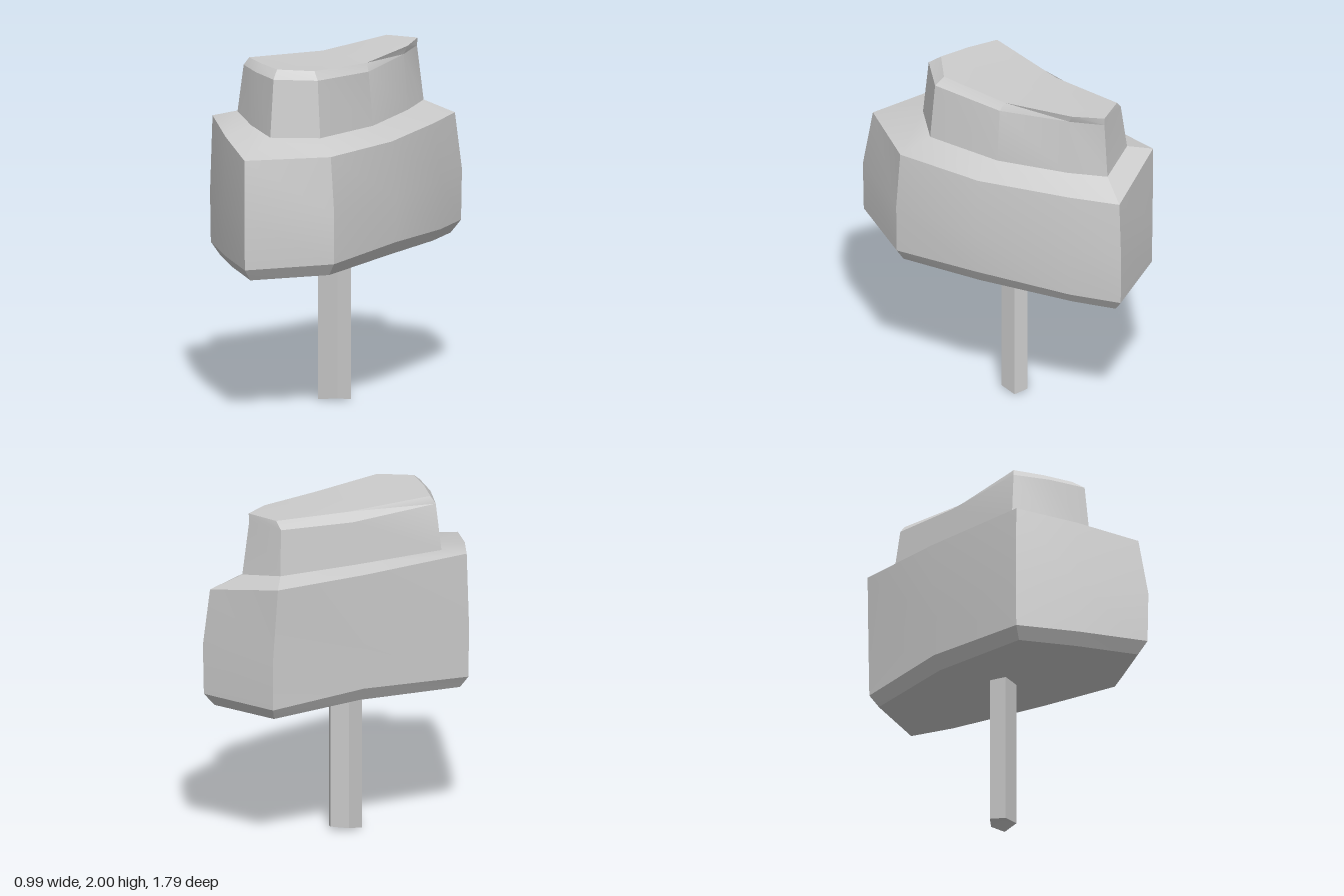
import * as THREE from 'three';
import { toCreasedNormals } from 'three/addons/utils/BufferGeometryUtils.js';

// Joins rings of [x, y, z] points from bottom to top and closes both ends.
function loft(name, rings, bottomY, topY, crease) {
  const n = rings[0].length;
  const out = [];
  for (let r = 0; r < rings.length - 1; r++) {
    for (let i = 0; i < n; i++) {
      const j = (i + 1) % n;
      const [a, b, c, d] = [rings[r][i], rings[r + 1][i], rings[r + 1][j], rings[r][j]];
      out.push(...a, ...b, ...c, ...a, ...c, ...d);
    }
  }
  const cap = (ring, y, up) => {
    const c = [0, y, 0];
    ring.forEach((p) => { c[0] += p[0] / n; c[2] += p[2] / n; });
    ring.forEach((p, i) => {
      const q = ring[(i + 1) % n];
      out.push(...c, ...(up ? q : p), ...(up ? p : q));
    });
  };
  cap(rings[0], bottomY, false);
  cap(rings[rings.length - 1], topY, true);
  const geo = new THREE.BufferGeometry();
  geo.setAttribute('position', new THREE.Float32BufferAttribute(out, 3));
  const mesh = new THREE.Mesh(
    toCreasedNormals(geo, crease),
    new THREE.MeshStandardMaterial({ color: 0xcccccc }),
  );
  mesh.name = name;
  return mesh;
}

// Moves every side of an outline inward by d.
function inset(outline, d) {
  const n = outline.length;
  const normal = (p, q) => {
    const l = Math.hypot(q[0] - p[0], q[1] - p[1]);
    return [-(q[1] - p[1]) / l, (q[0] - p[0]) / l];
  };
  return outline.map((p, i) => {
    const a = normal(outline[(i + n - 1) % n], p);
    const b = normal(p, outline[(i + 1) % n]);
    const k = d / (1 + a[0] * b[0] + a[1] * b[1]);
    return [p[0] + (a[0] + b[0]) * k, p[1] + (a[1] + b[1]) * k];
  });
}

// Lifts an outline to heights given by a rule.
const lift = (outline, rule) => outline.map(([x, z], i) => [x, rule(x, z, i), z]);

// Outlines as [x, z]: back left, back tip, two along the long side,
// side corner, front tip, front middle, front corner, middle of the flat side.
const girth = [[-0.475, -0.68], [-0.02, -0.895], [0.13, -0.63], [0.38, -0.12], [0.495, 0.41],
  [0.29, 0.895], [-0.1, 0.745], [-0.43, 0.59], [-0.475, -0.1]];
const shoulder = [[-0.498, -0.66], [-0.04, -0.86], [0.11, -0.6], [0.35, -0.11], [0.463, 0.41],
  [0.245, 0.86], [-0.1, 0.73], [-0.42, 0.58], [-0.485, -0.1]];
const crownFoot = [[-0.37, -0.58], [-0.11, -0.69], [0.01, -0.49], [0.19, -0.1], [0.285, 0.35],
  [0.12, 0.58], [-0.12, 0.535], [-0.35, 0.455], [-0.365, -0.1]];
const crownTop = [[-0.3, -0.57], [-0.12, -0.655], [-0.01, -0.5], [0.13, -0.1], [0.2, 0.325],
  [0.065, 0.49], [-0.12, 0.46], [-0.3, 0.41], [-0.275, -0.1]];
const shoulderY = [1.65, 1.55, 1.55, 1.55, 1.55, 1.55, 1.61, 1.66, 1.655];
const crownFootY = [1.685, 1.635, 1.625, 1.615, 1.62, 1.625, 1.65, 1.68, 1.68];

// Height of the saddle dip, which is 1 at the middle and 0 towards both ends.
const dip = (z) => Math.max(0, 1 - Math.abs(z + 0.1) / 0.6);

export function createModel() {
  const group = new THREE.Group();
  group.name = 'tree';

  // Wide lower foliage with a chamfered underside, and the crown growing from it
  const rings = [
    lift(inset(girth, 0.05), (x, z) => 0.855 + 0.035 * dip(z)),
    lift(inset(girth, 0.004), (x, z) => 0.925 + 0.045 * dip(z)),
    lift(girth, () => 1.22),
    lift(shoulder, (x, z, i) => shoulderY[i]),
    lift(crownFoot, (x, z, i) => crownFootY[i]),
    lift(inset(crownFoot, 0.03), (x, z) => 1.955 - 0.03 * dip(z)),
    lift(crownTop, (x, z) => 2 - 0.03 * dip(z)),
  ];
  group.add(loft('foliage', rings, 0.885, 1.972, 0.42));

  // Five-sided trunk with a rough cut foot
  const trunk = [[-0.05, -0.1], [0.025, -0.07], [0.03, 0.03], [-0.09, 0.08], [-0.125, -0.02]];
  group.add(loft('trunk', [
    lift(trunk, (x, z, i) => (i % 2 ? 0 : 0.02)),
    lift(trunk, () => 0.97),
  ], 0.035, 0.97, 0.3));

  return group;
}
